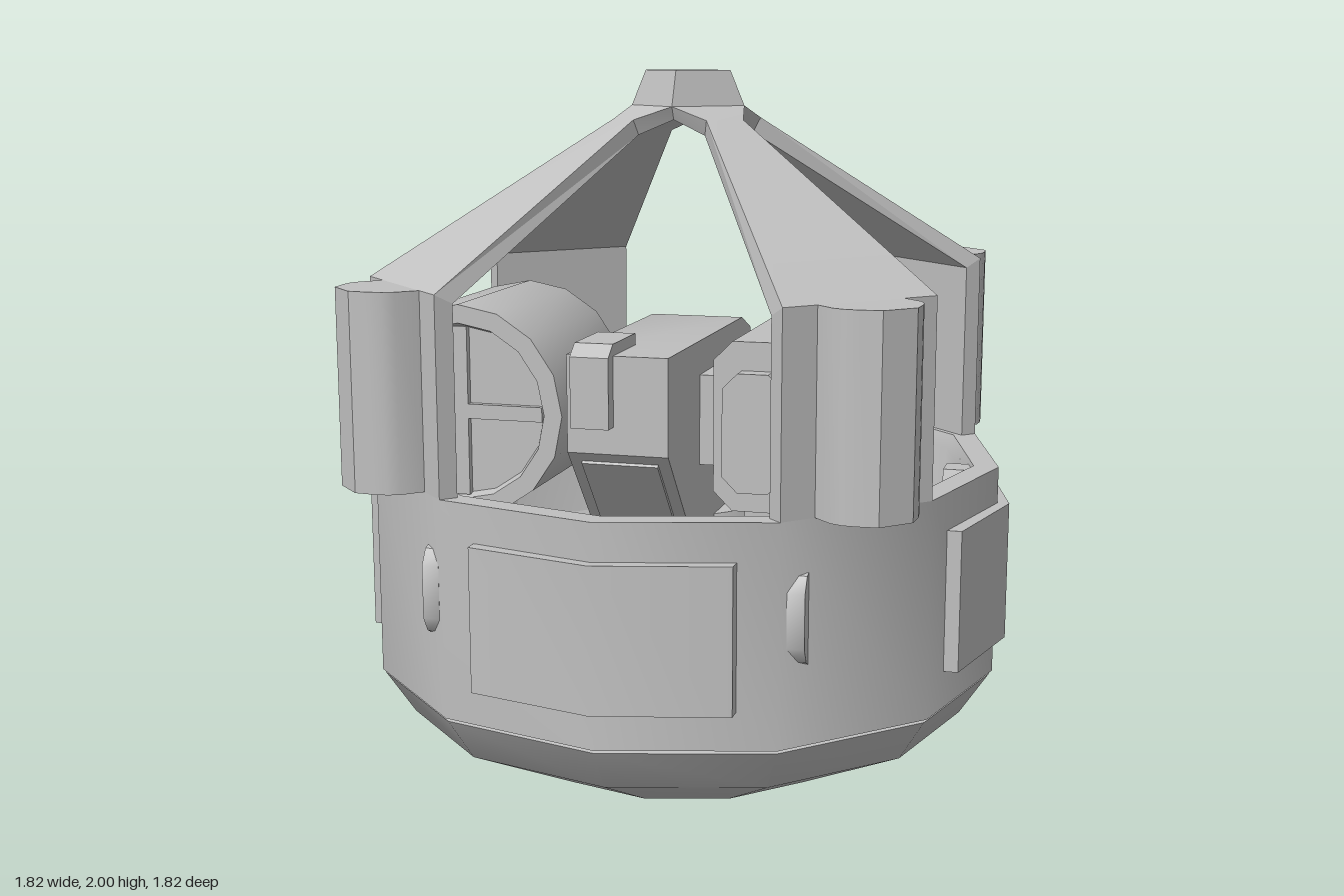
import * as THREE from 'three';
import { toCreasedNormals } from 'three/addons/utils/BufferGeometryUtils.js';

const grey = new THREE.MeshStandardMaterial({ color: 0xc0c0c0, side: THREE.DoubleSide });
grey.name = 'plain grey';

const v2 = (pts) => pts.map(([x, y]) => new THREE.Vector2(x, y));

function add(parent, name, geo) {
  const mesh = new THREE.Mesh(toCreasedNormals(geo, 0.62), grey);
  mesh.name = name;
  parent.add(mesh);
  return mesh;
}
function prism(pts, depth) {
  return new THREE.ExtrudeGeometry(new THREE.Shape(v2(pts)), { depth, bevelEnabled: false });
}
// outline in (x, z), raised from y0 to y1
const plan = (pts, y0, y1) => prism(pts.map(([x, z]) => [x, -z]), y1 - y0).rotateX(-Math.PI / 2).translate(0, y0, 0);
// outline in (z, y), running from x0 to x1
const side = (pts, x0, x1) => prism(pts.map(([z, y]) => [-z, y]), x1 - x0).rotateY(Math.PI / 2).translate(x0, 0, 0);
// outline in (x, y), running from z0 to z1
const front = (pts, z0, z1) => prism(pts, z1 - z0).translate(0, 0, z0);
const box = (x0, x1, y0, y1, z0, z1) =>
  new THREE.BoxGeometry(x1 - x0, y1 - y0, z1 - z0).translate((x0 + x1) / 2, (y0 + y1) / 2, (z0 + z1) / 2);
// turned part lying along z, profile in (radius, z)
const turned = (pts, n, x, y) => new THREE.LatheGeometry(v2(pts), n).rotateX(Math.PI / 2).translate(x, y, 0);
const chamfered = (x0, x1, y0, y1, c) => [[x0 + c, y0], [x1 - c, y0], [x1, y0 + c], [x1, y1 - c],
  [x1 - c, y1], [x0 + c, y1], [x0, y1 - c], [x0, y0 + c]];

// post and roof strut: rectangular sections [half width, y, radius, inner half width, inner y, inner radius]
function strutGeometry() {
  const sections = [
    [0.226, 0.94, 0.849, 0.226, 0.94, 0.8],
    [0.226, 1.46, 0.849, 0.226, 1.435, 0.8],
    [0.057, 1.87, 0.2, 0.05, 1.83, 0.18],
    [0.113, 1.905, 0.113, 0.1, 1.87, 0.1],
  ];
  const pos = [], index = [];
  sections.forEach(([w, y, r, wi, yi, ri], i) => {
    pos.push(-w, y, r, w, y, r, wi, yi, ri, -wi, yi, ri);
    if (i === 0) return;
    for (let j = 0; j < 4; j++) {
      const a = (i - 1) * 4 + j, b = (i - 1) * 4 + ((j + 1) % 4);
      index.push(a, b, b + 4, a, b + 4, a + 4);
    }
  });
  const geo = new THREE.BufferGeometry();
  geo.setAttribute('position', new THREE.Float32BufferAttribute(pos, 3));
  geo.setIndex(index);
  return toCreasedNormals(geo, 0.2);
}

function buildHull(model) {
  // twelve-sided dome below and hollow wall above
  add(model, 'bottomDome', new THREE.LatheGeometry(v2([[0, 0], [0.45, 0.065], [0.79, 0.23], [0.87, 0.35], [0.82, 0.36]]), 12));
  add(model, 'wall', new THREE.LatheGeometry(v2([[0.82, 0.355], [0.878, 0.36], [0.878, 0.94], [0.81, 0.94], [0.79, 0.9],
    [0.76, 0.6], [0.6, 0.38], [0.35, 0.27], [0, 0.24]]), 12));

  for (let k = 0; k < 4; k++) {
    // raised armour panel on each main side
    const panel = add(model, 'armourPanel', plan([[-0.34, 0.77], [-0.34, 0.825], [0, 0.91], [0.34, 0.825], [0.34, 0.77], [0, 0.86]], 0.46, 0.84));
    panel.rotation.y = k * Math.PI / 2;

    // post, strut and rounded pod on each diagonal
    const corner = new THREE.Group();
    corner.name = 'cornerPost';
    corner.rotation.y = Math.PI / 4 + k * Math.PI / 2;
    const strut = new THREE.Mesh(strutGeometry(), grey);
    strut.name = 'strut';
    corner.add(strut);
    const half = [[0.127, 0.84], [0.127, 0.915], [0.115, 0.945], [0.092, 0.972], [0.05, 1.008]];
    const pod = half.concat(half.map(([t, r]) => [-t, r]).reverse());
    add(corner, 'outerPod', plan(pod, 0.94, 1.46));
    model.add(corner);
  }

  // square cap on top of the struts
  add(model, 'topCap', new THREE.CylinderGeometry(0.12, 0.16, 0.095, 4).translate(0, 1.9525, 0));

  for (const s of [-1, 1]) {
    // small grips at the front, tapered fins at the back
    const grip = s > 0 ? [0.455, 0.5] : [-0.5, -0.455];
    add(model, 'frontGrip', side([[0.68, 0.56], [0.72, 0.58], [0.745, 0.62], [0.745, 0.76], [0.72, 0.8], [0.68, 0.81]], ...grip));
    const fin = s > 0 ? [0.35, 0.44] : [-0.44, -0.35];
    add(model, 'rearFin', side([[-0.74, 0.94], [-0.74, 0.5], [-0.77, 0.5], [-0.81, 0.65], [-0.815, 0.94]], ...fin));
  }
}

function buildTank(model) {
  const tank = new THREE.Group();
  tank.name = 'tank';
  add(tank, 'tankBody', turned([[0, -0.27], [0.23, -0.27], [0.29, -0.14], [0.29, 0.42], [0.24, 0.42], [0.23, 0.39], [0, 0.39]], 16, -0.52, 1.1));
  // crossing bars on the front cap
  add(tank, 'capBar', box(-0.75, -0.29, 1.08, 1.12, 0.385, 0.41));
  add(tank, 'capBar', box(-0.54, -0.5, 0.87, 1.33, 0.385, 0.41));
  add(tank, 'tankLink', box(-0.28, -0.185, 0.95, 1.24, -0.02, 0.2));
  model.add(tank);
}

function buildCore(model) {
  const core = new THREE.Group();
  core.name = 'centralUnit';
  add(core, 'coreBody', side([[0.66, 1.06], [0.66, 1.31], [-0.1, 1.31], [-0.2, 1.27], [-0.4, 0.93], [-0.4, 0.78], [0.42, 0.78]], -0.132, 0.132));
  add(core, 'coreShoulder', box(-0.185, 0.185, 0.98, 1.22, -0.1, 0.36));
  add(core, 'sideBar', box(-0.21, 0.21, 1.17, 1.21, 0.05, 0.12));
  // hooked sight on the front
  add(core, 'sight', side([[0.47, 1.3], [0.47, 1.34], [0.66, 1.34], [0.7, 1.31], [0.7, 1.13], [0.65, 1.13], [0.65, 1.3]], -0.11, -0.01));
  // lower nose plate
  add(core, 'nosePlate', side([[0.635, 1.04], [0.47, 0.845], [0.48, 0.835], [0.645, 1.03]], -0.1, 0.1));
  // framed hatch on the sloping back
  const hatch = new THREE.Shape(v2([[-0.09, 0], [0.09, 0], [0.09, 0.34], [-0.09, 0.34]]));
  hatch.holes.push(new THREE.Path(v2([[-0.065, 0.03], [-0.065, 0.31], [0.065, 0.31], [0.065, 0.03]])));
  const frame = add(core, 'hatchFrame', new THREE.ExtrudeGeometry(hatch, { depth: 0.035, bevelEnabled: false }));
  frame.position.set(0, 0.94, -0.425);
  frame.rotation.x = 0.53;
  add(core, 'pedestal', new THREE.CylinderGeometry(0.25, 0.32, 0.56, 12).translate(0, 0.53, 0));
  model.add(core);
}

function buildGun(model) {
  const gun = new THREE.Group();
  gun.name = 'twinGun';
  const cx = 0.305;
  add(gun, 'gunBody', front(chamfered(0.19, 0.415, 0.88, 1.325, 0.05), -0.11, 0.44));
  add(gun, 'gunEnd', front(chamfered(0.225, 0.385, 0.94, 1.25, 0.04), 0.44, 0.49));
  add(gun, 'gunNeck', front(chamfered(0.215, 0.4, 0.92, 1.28, 0.05), -0.41, -0.11));
  add(gun, 'gunMount', box(0.24, 0.48, 0.7, 0.92, 0.16, 0.3));
  for (const y of [1.185, 1.015]) {
    // side plates and ribs
    add(gun, 'sidePlate', box(0.41, 0.424, y - 0.06, y + 0.045, -0.08, 0.14));
    for (const dy of [-0.045, 0.03]) add(gun, 'sideRib', box(0.41, 0.44, y + dy - 0.012, y + dy + 0.012, 0.19, 0.42));
    // collars and a ring of slim barrels
    add(gun, 'barrelShaft', turned([[0, -0.58], [0.06, -0.58], [0.06, -0.3]], 12, cx, y));
    for (const z of [-0.44, -0.51, -0.58]) {
      add(gun, 'barrelCollar', turned([[0.05, z], [0.085, z], [0.085, z + 0.04], [0.05, z + 0.04]], 12, cx, y));
    }
    add(gun, 'muzzleRing', turned([[0.035, -0.72], [0.052, -0.72], [0.052, -0.56], [0.035, -0.56], [0.035, -0.72]], 12, cx, y));
    for (let k = 0; k < 6; k++) {
      const a = (k + 0.5) * Math.PI / 3, bx = cx + 0.052 * Math.cos(a), by = y + 0.052 * Math.sin(a);
      add(gun, 'barrel', box(bx - 0.011, bx + 0.011, by - 0.011, by + 0.011, -0.785, -0.55));
    }
  }
  model.add(gun);
}

export function createModel() {
  const model = new THREE.Group();
  model.name = 'dropPod';
  buildHull(model);
  buildTank(model);
  buildCore(model);
  buildGun(model);
  // arm and bracket joining the gun to the wall
  add(model, 'wallArm', box(0.4, 0.74, 0.74, 0.8, -0.03, 0.03));
  add(model, 'wallBracket', side([[-0.13, 0.68], [0.05, 0.68], [0.05, 0.84], [0.02, 0.93], [-0.06, 0.93], [-0.13, 0.78]], 0.73, 0.8));
  return model;
}
